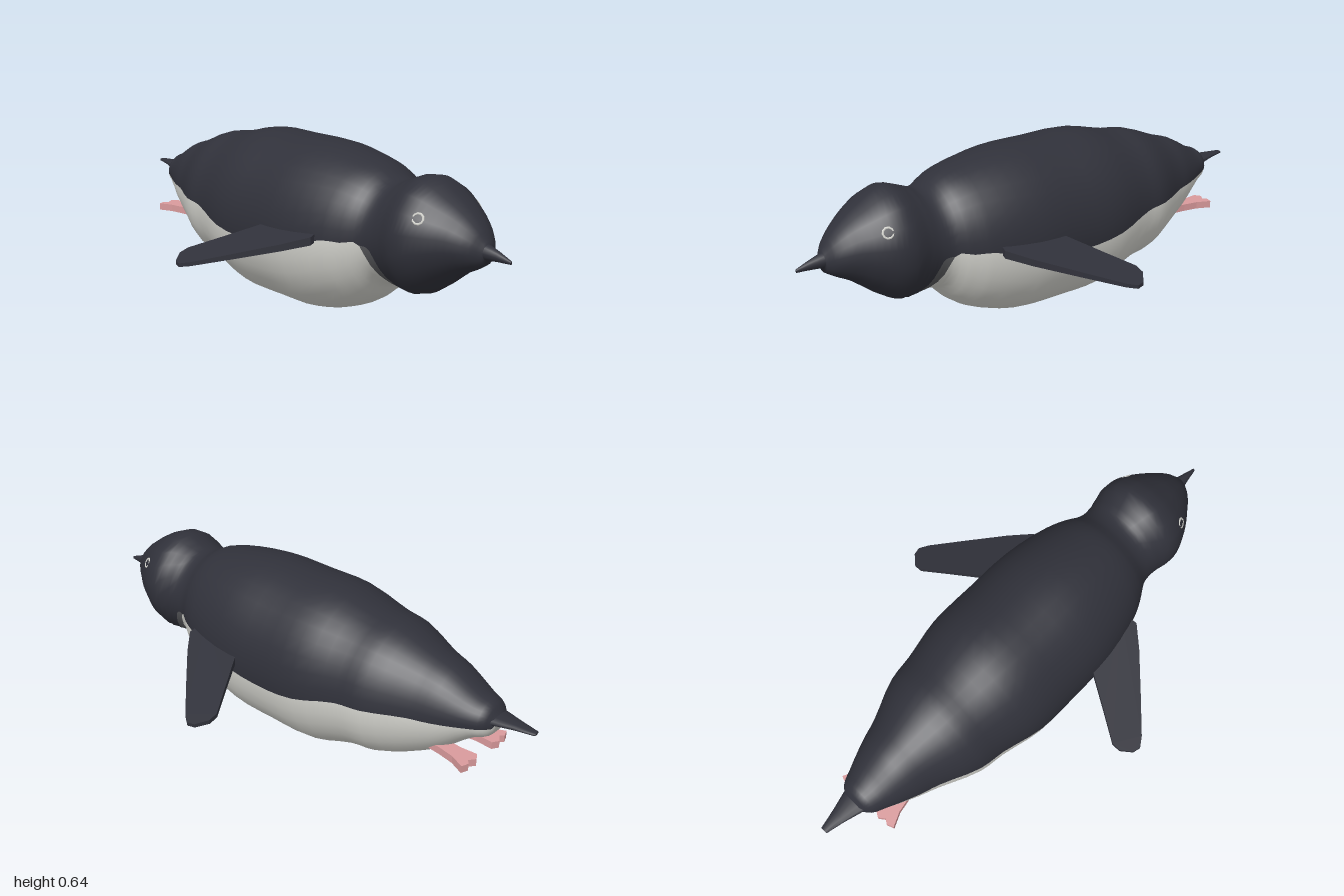
import * as THREE from 'three';

const flat = (name, color, extra = {}) => Object.assign(new THREE.MeshStandardMaterial({ color, ...extra }), { name });

// Smooth loft along x. Rows: [x, top, bottom, halfWidth, bellyEdgeY, throatEdgeY].
// Each ring is split by height into belly, throat and back bands (groups 0, 1, 2).
function loft(rows, bands, steps) {
  const stride = rows[0].length - 1;
  const curve = new THREE.CubicInterpolant(rows.map(r => r[0]), rows.flatMap(r => r.slice(1)), stride);
  const at = x => {
    const [top, bottom, rz, belly = -9, throat = -9] = Array.from(curve.evaluate(x));
    return { cy: (top + bottom) / 2, ry: (top - bottom) / 2, rz, belly, throat };
  };
  const xs = [];
  for (let i = 0; i < rows.length - 1; i++) {
    for (let k = 0; k < steps; k++) xs.push(rows[i][0] + (rows[i + 1][0] - rows[i][0]) * k / steps);
  }
  const last = rows[rows.length - 1][0];
  xs.push(last);

  const half = bands[0] + bands[1] + bands[2];
  const n = half * 2;
  const pos = [], nor = [];
  const ring = (x, size) => {
    const s = at(x);
    const e = 0.002;
    const x0 = Math.max(rows[0][0], x - e), x1 = Math.min(last, x + e);
    const p = at(x0), q = at(x1), w = x1 - x0;
    const angle = y => Math.acos(THREE.MathUtils.clamp((s.cy - y) / s.ry, -1, 1));
    const a1 = angle(s.belly), a2 = Math.max(a1, angle(s.throat));
    for (let j = 0; j < n; j++) {
      const k = j <= half ? j : n - j;
      let a;
      if (k <= bands[0] && bands[0]) a = a1 * k / bands[0];
      else if (k <= bands[0] + bands[1] && bands[1]) a = a1 + (a2 - a1) * (k - bands[0]) / bands[1];
      else a = a2 + (Math.PI - a2) * (k - bands[0] - bands[1]) / bands[2];
      const c = Math.cos(a), sn = j <= half ? Math.sin(a) : -Math.sin(a);
      pos.push(x, s.cy - s.ry * c * size, s.rz * sn * size);
      const nx = (c * (q.cy - p.cy) / s.ry - c * c * (q.ry - p.ry) / s.ry - sn * sn * (q.rz - p.rz) / s.rz) / w;
      const v = new THREE.Vector3(nx, -c / s.ry, sn / s.rz).normalize();
      nor.push(v.x, v.y, v.z);
    }
  };
  ring(xs[0], 0.001);
  xs.forEach(x => ring(x, 1));
  ring(last, 0.001);

  const parts = [[], [], []];
  for (let i = 0; i < xs.length + 1; i++) {
    for (let j = 0; j < n; j++) {
      const k = j < half ? j : n - 1 - j;
      const part = k < bands[0] ? 0 : k < bands[0] + bands[1] ? 1 : 2;
      const a = i * n + j, b = i * n + (j + 1) % n;
      parts[part].push(a, a + n, b + n, a, b + n, b);
    }
  }
  const geo = new THREE.BufferGeometry();
  geo.setAttribute('position', new THREE.Float32BufferAttribute(pos, 3));
  geo.setAttribute('normal', new THREE.Float32BufferAttribute(nor, 3));
  geo.setIndex(parts.flat());
  let start = 0;
  parts.forEach((p, i) => { geo.addGroup(start, p.length, i); start += p.length; });
  return geo;
}

// Outline drawn in x and z, lying flat, with its top at y = 0
const outline = pts => new THREE.Shape(pts.map(p => new THREE.Vector2(p[0], p[1])));
const slab = (pts, depth) => new THREE.ExtrudeGeometry(outline(pts), { depth, bevelEnabled: false }).rotateX(Math.PI / 2);

// Droop a flipper outward and thin it towards the tip
function droop(geo) {
  const p = geo.attributes.position;
  for (let i = 0; i < p.count; i++) {
    const z = p.getZ(i);
    p.setY(i, p.getY(i) * (1.3 - 1.5 * z) + 0.372 - 0.33 * (z - 0.25));
  }
  geo.computeVertexNormals();
  return geo;
}

export function createModel() {
  const model = new THREE.Group();
  const dark = flat('dark plumage', 0x30313a);
  const white = flat('white plumage', 0xd2d2cc, { side: THREE.DoubleSide });
  const grey = flat('grey throat', 0x56575a);
  const pink = flat('pink feet', 0xd99a9c);
  const add = (name, geo, mat, parent = model) => {
    const mesh = new THREE.Mesh(geo, mat);
    mesh.name = name;
    parent.add(mesh);
    return mesh;
  };

  // Body and head
  add('body', loft([
    [-0.86, 0.405, 0.335, 0.045, 0.36, 0.36],
    [-0.84, 0.43, 0.31, 0.07, 0.36, 0.36],
    [-0.79, 0.45, 0.285, 0.095, 0.355, 0.355],
    [-0.68, 0.51, 0.195, 0.142, 0.35, 0.35],
    [-0.6, 0.535, 0.145, 0.17, 0.35, 0.35],
    [-0.45, 0.59, 0.08, 0.235, 0.345, 0.345],
    [-0.35, 0.604, 0.066, 0.25, 0.34, 0.34],
    [-0.18, 0.643, 0.012, 0.285, 0.3, 0.3],
    [0, 0.645, 0.008, 0.287, 0.285, 0.285],
    [0.2, 0.643, 0.018, 0.282, 0.31, 0.31],
    [0.38, 0.613, 0.08, 0.243, 0.355, 0.355],
    [0.44, 0.595, 0.122, 0.215, 0.355, 0.355],
    [0.5, 0.564, 0.18, 0.18, 0.35, 0.352],
    [0.54, 0.56, 0.192, 0.173, 0.25, 0.34],
    [0.58, 0.575, 0.188, 0.176, 0.205, 0.25],
    [0.65, 0.598, 0.184, 0.191, 0.17, 0.18],
    [0.7, 0.588, 0.205, 0.184, 0.15, 0.15],
    [0.76, 0.555, 0.25, 0.155, 0.15, 0.15],
    [0.82, 0.515, 0.295, 0.113, 0.15, 0.15],
    [0.88, 0.46, 0.328, 0.066, 0.15, 0.15],
    [0.905, 0.425, 0.345, 0.035, 0.15, 0.15],
  ], [8, 2, 9], 3), [white, grey, dark]);

  // Beak and tail
  add('beak', loft([
    [0.87, 0.42, 0.355, 0.032], [0.91, 0.412, 0.362, 0.024],
    [0.95, 0.4, 0.366, 0.015], [1, 0.381, 0.369, 0.005],
  ], [0, 0, 8], 2), dark);
  add('tail', loft([
    [-1, 0.39, 0.378, 0.014], [-0.93, 0.394, 0.374, 0.03],
    [-0.86, 0.398, 0.366, 0.05], [-0.78, 0.405, 0.36, 0.07],
  ], [0, 0, 6], 1), dark);

  // Paired parts: built on one side and mirrored
  for (const side of [1, -1]) {
    const pair = new THREE.Group();
    pair.name = side > 0 ? 'rightSide' : 'leftSide';
    pair.scale.z = side;
    model.add(pair);

    add('flipper', droop(slab([
      [0.34, 0.2], [0.355, 0.27], [0.29, 0.345], [0.17, 0.465], [0.065, 0.568], [0.03, 0.592],
      [0, 0.585], [-0.035, 0.545], [-0.036, 0.51], [0.03, 0.4], [0.1, 0.28], [0.12, 0.2],
    ], 0.032)), dark, pair);
    add('flipperUnderside', droop(new THREE.ShapeGeometry(outline([
      [0.33, 0.2], [0.345, 0.27], [0.28, 0.345], [0.165, 0.46], [0.095, 0.525],
      [-0.03, 0.515], [0.035, 0.405], [0.107, 0.28], [0.13, 0.2],
    ])).rotateX(Math.PI / 2).translate(0, -0.035, 0)), white, pair);

    add('foot', slab([
      [-0.62, 0.035], [-0.62, 0.09], [-0.7, 0.1], [-0.76, 0.112], [-0.815, 0.138], [-0.825, 0.11],
      [-0.812, 0.095], [-0.83, 0.07], [-0.815, 0.045], [-0.75, 0.05],
    ], 0.028).translate(0, 0.238, 0), pink, pair);

    // Thin pale ring around the eye
    const eye = add('eyeRing', new THREE.TorusGeometry(0.018, 0.0045, 6, 10), white, pair);
    eye.position.set(0.733, 0.486, 0.142);
    eye.quaternion.setFromUnitVectors(new THREE.Vector3(0, 0, 1), new THREE.Vector3(0.4, 0.45, 0.8).normalize());
  }
  return model;
}
